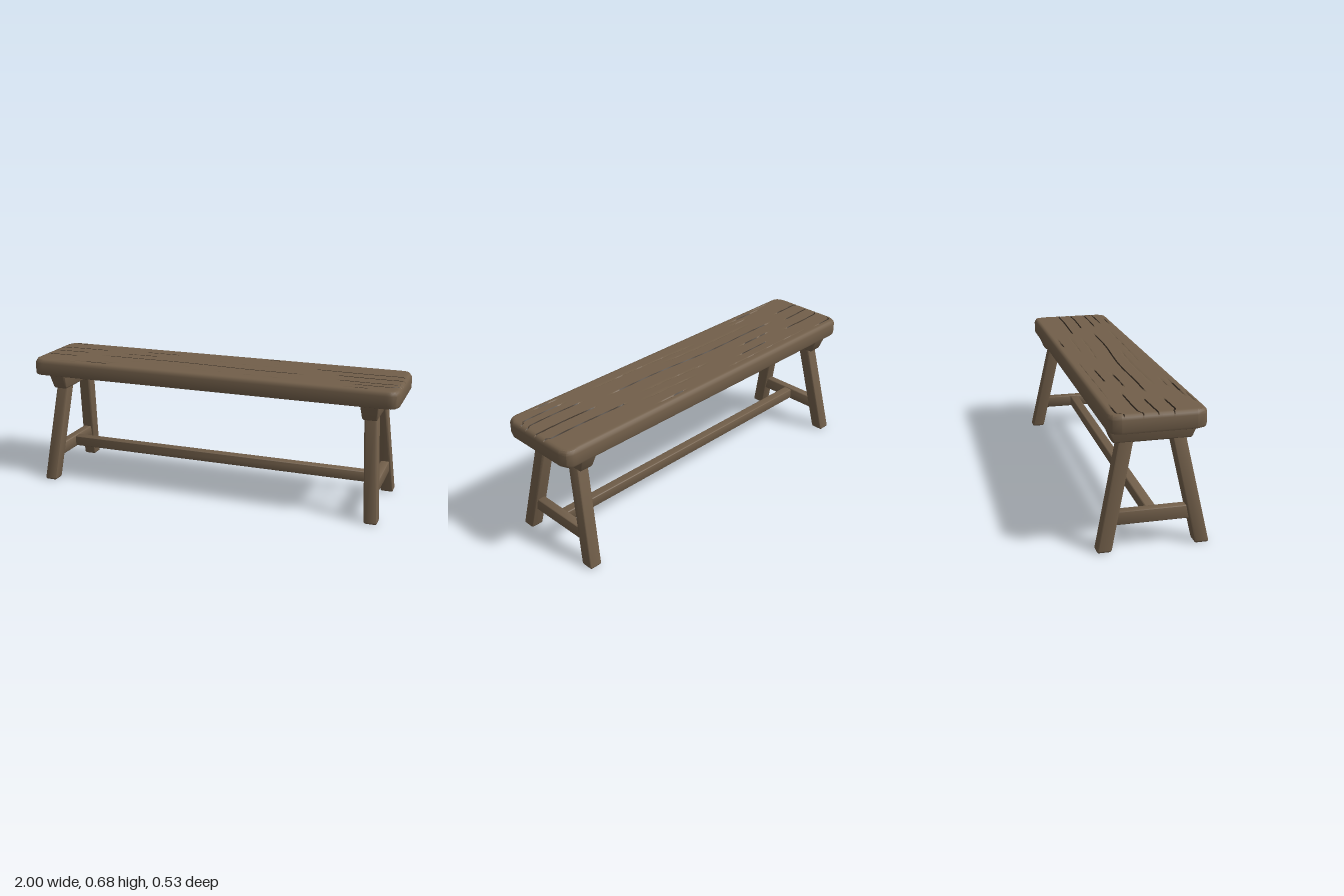
import * as THREE from 'three';
import { toCreasedNormals } from 'three/addons/utils/BufferGeometryUtils.js';
import { RoundedBoxGeometry } from 'three/addons/geometries/RoundedBoxGeometry.js';

const wood = new THREE.MeshStandardMaterial({ color: 0x725f4a });
wood.name = 'brown wood';
const crackWood = new THREE.MeshStandardMaterial({ color: 0x3f3429 });
crackWood.name = 'dark crack wood';

// Moves every vertex of a geometry by a rule
function warp(geometry, rule) {
  const p = geometry.attributes.position;
  const v = new THREE.Vector3();
  for (let i = 0; i < p.count; i++) {
    rule(v.fromBufferAttribute(p, i));
    p.setXYZ(i, v.x, v.y, v.z);
  }
  return geometry;
}

// Softly rounded timber, bent into place by a rule
function timber(name, size, radius, rule) {
  const geometry = warp(new RoundedBoxGeometry(...size, 3, radius), rule);
  const mesh = new THREE.Mesh(toCreasedNormals(geometry, 0.7), wood);
  mesh.name = name;
  return mesh;
}

// Seat plank
const L = 1, W = 0.228, R = 0.055, TOP = 0.678, NX = 140, NZ = 96;
// Height and inset of the rim, from the bottom to the top
const RIM = [[0.588, 0.014], [0.592, 0.004], [0.602, 0], [0.655, 0], [0.667, 0.004], [0.675, 0.011], [TOP, 0.022]];
// Cracks along the grain: z, start x, end x, depth
const CRACKS = [
  [-0.19, -1, -0.83, 0.009], [-0.19, 0.18, 0.42, 0.006], [-0.17, -0.8, -0.1, 0.003],
  [-0.115, -0.52, -0.24, 0.008], [-0.08, -1, -0.68, 0.012], [-0.085, 0.5, 1, 0.011],
  [-0.12, 0.05, 0.45, 0.003], [-0.045, -0.62, -0.33, 0.007], [-0.06, -0.1, 0.4, 0.003],
  [0, -1, -0.78, 0.012], [-0.015, 0.64, 1, 0.018], [0.035, -0.72, 0.52, 0.008],
  [0.085, -1, -0.8, 0.012], [0.075, 0.64, 1, 0.011], [0.1, -0.6, 0.1, 0.003],
  [0.13, 0.72, 1, 0.008], [0.155, -0.66, -0.48, 0.006], [0.14, -0.2, 0.55, 0.003],
  [0.185, -0.82, -0.5, 0.007], [0.2, -0.92, -0.72, 0.006], [0.19, 0.7, 0.9, 0.007],
].map(([z, a, b, depth]) => ({ row: Math.round((z / 0.206 + 1) * NZ / 2), a, b, depth }));

function crackDepth(u, v) {
  const row = Math.round((v + 1) * NZ / 2);
  let depth = 0;
  for (const c of CRACKS) {
    if (row !== c.row || u < c.a || u > c.b) continue;
    // Cracks run out at the plank ends and taper inside
    const left = c.a <= -1 ? 1 : (u - c.a) / 0.08;
    const right = c.b >= 1 ? 1 : (c.b - u) / 0.08;
    const ragged = 0.8 + 0.2 * Math.sin(u * 41 + row);
    depth = Math.max(depth, c.depth * ragged * Math.min(1, left, right));
  }
  return depth;
}

// Gentle sideways drift of the grain
const grain = (x) => 0.016 * Math.sin(x * 2.6 - 0.3) + 0.004 * Math.sin(x * 9);

function makeSeat() {
  const levels = RIM.length - 1;
  const box = new THREE.BoxGeometry(2, 2, 2, NX, levels, NZ);
  const topLimit = TOP - 0.0025;
  warp(box, (p) => {
    const { x: u, z: v } = p;
    const [y, inset] = RIM[Math.round((p.y + 1) / 2 * levels)];
    const l = L - inset, w = W - inset, r = R - inset;
    const x = u * l;
    const corner = Math.max(0, Math.abs(x) - (l - r));
    const halfWidth = w - r + Math.sqrt(Math.max(0, r * r - corner * corner));
    p.set(x, Math.min(y, TOP - crackDepth(u, v)), v * halfWidth + grain(x) * (1 - v * v));
  });
  const geometry = toCreasedNormals(box, 0.6);
  // Triangles that dip into a crack on the upper face get the dark wood
  const pos = geometry.attributes.position;
  const light = [], dark = [];
  for (let i = 0; i < pos.count; i += 3) {
    const ys = [pos.getY(i), pos.getY(i + 1), pos.getY(i + 2)];
    const low = Math.min(...ys), high = Math.max(...ys);
    const cracked = low > 0.657 && low < topLimit - 0.002 && high > topLimit &&
      Math.abs(pos.getZ(i)) < 0.207 && Math.abs(pos.getX(i)) < 0.979;
    (cracked ? dark : light).push(i, i + 1, i + 2);
  }
  geometry.clearGroups();
  geometry.setIndex([...light, ...dark]);
  geometry.addGroup(0, light.length, 0);
  geometry.addGroup(light.length, dark.length, 1);
  const seat = new THREE.Mesh(geometry, [wood, crackWood]);
  seat.name = 'seat';
  return seat;
}

export function createModel() {
  const bench = new THREE.Group();
  bench.name = 'bench';
  bench.add(makeSeat());

  for (const sx of [-1, 1]) {
    const side = sx > 0 ? 'left' : 'right';
    const trestle = new THREE.Group();
    trestle.name = `${side}Trestle`;

    // Tapered batten under the seat
    trestle.add(timber(`${side}Batten`, [0.096, 0.09, 0.44], 0.012, (p) => {
      const k = (p.y + 0.045) / 0.09;
      p.set(sx * 0.857 + p.x * (0.78 + 0.22 * k), 0.557 + p.y, p.z * (0.84 + 0.16 * k));
    }));

    // Splayed legs with level feet
    for (const sz of [-1, 1]) {
      trestle.add(timber(`${sz > 0 ? 'front' : 'back'}${sx > 0 ? 'Left' : 'Right'}Leg`, [0.068, 0.56, 0.07], 0.011, (p) => {
        const y = p.y + 0.28;
        p.set(p.x + sx * (0.901 - 0.083 * y), y, p.z + sz * (0.234 - 0.213 * y));
      }));
    }

    // Short stretcher between the legs
    trestle.add(timber(`${side}Stretcher`, [0.046, 0.066, 0.4], 0.006, (p) => {
      p.x += sx * 0.888;
      p.y += 0.155;
    }));
    bench.add(trestle);
  }

  // Long stretcher joining the two trestles
  bench.add(timber('longStretcher', [1.76, 0.056, 0.05], 0.006, (p) => { p.y += 0.156; }));
  return bench;
}
